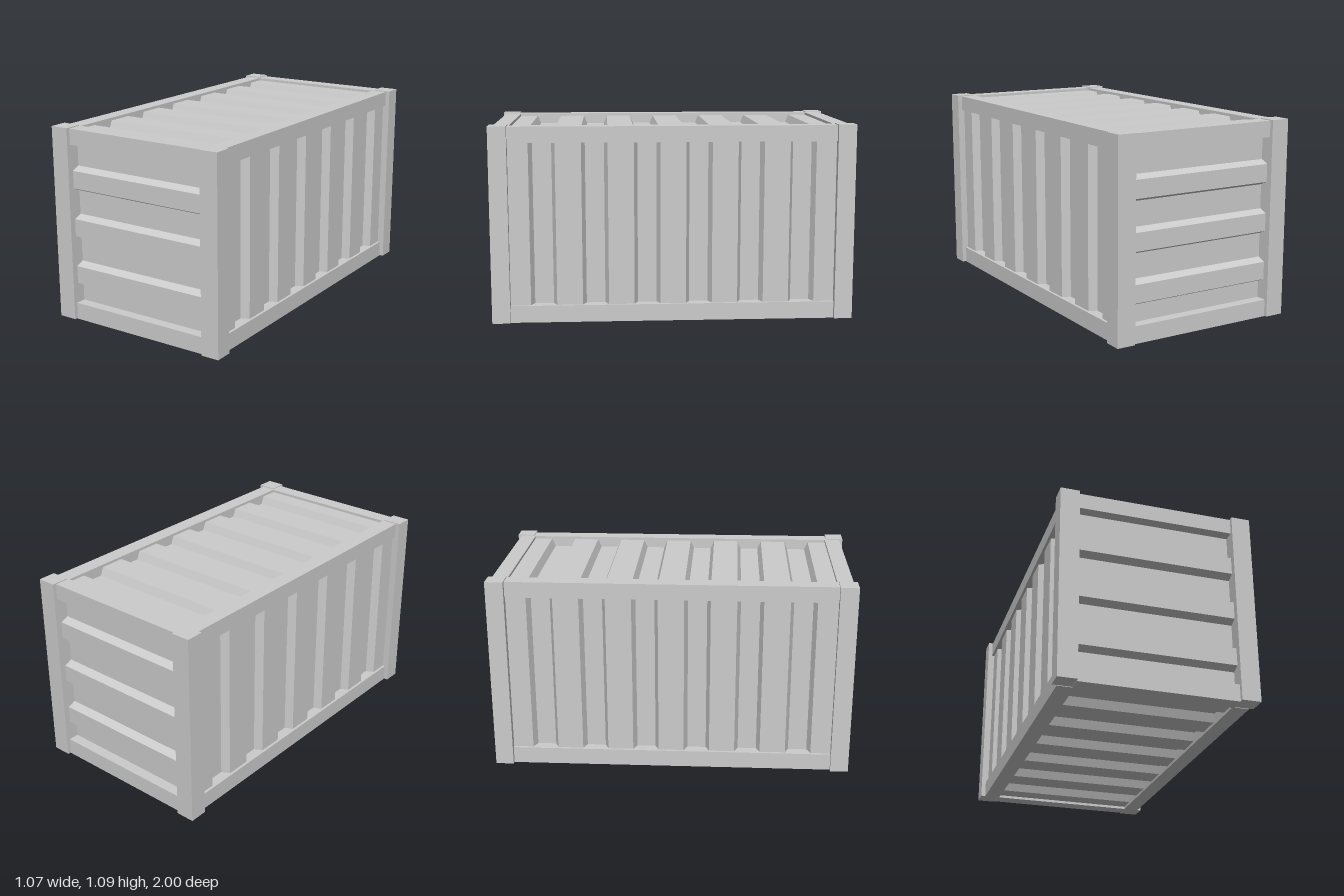
import * as THREE from 'three';

const material = new THREE.MeshStandardMaterial({ color: 0xcccccc, flatShading: true, side: THREE.DoubleSide });

const X = new THREE.Vector3(1, 0, 0);
const Y = new THREE.Vector3(0, 1, 0);
const Z = new THREE.Vector3(0, 0, 1);

// Box given by its lower and upper corners
function box(name, x0, x1, y0, y1, z0, z1) {
  const mesh = new THREE.Mesh(new THREE.BoxGeometry(x1 - x0, y1 - y0, z1 - z0), material);
  mesh.name = name;
  mesh.position.set((x0 + x1) / 2, (y0 + y1) / 2, (z0 + z1) / 2);
  return mesh;
}

// Folded sheet: u runs across the ribs, v points outward, ribs run along u x v.
// Each fold toggles between the inner level (0) and the outer level (depth).
function corrugatedPanel(name, { from, to, folds, startsHigh }, u, v, length, origin) {
  const depth = 0.045, slope = 0.01, thickness = 0.008;
  let level = startsHigh ? depth : 0;
  const line = [[from, level]];
  for (const f of folds) {
    line.push([f - slope, level]);
    level = depth - level;
    line.push([f + slope, level]);
  }
  line.push([to, level]);
  const back = line.map(([a, b]) => [a, b - thickness]).reverse();
  const shape = new THREE.Shape([...line, ...back].map(([a, b]) => new THREE.Vector2(a, b)));
  const geometry = new THREE.ExtrudeGeometry(shape, { depth: length, bevelEnabled: false });
  geometry.translate(0, 0, -length / 2);
  const w = new THREE.Vector3().crossVectors(u, v);
  geometry.applyMatrix4(new THREE.Matrix4().makeBasis(u, v, w));
  const mesh = new THREE.Mesh(geometry, material);
  mesh.name = name;
  mesh.position.copy(origin);
  return mesh;
}

export function createModel() {
  const group = new THREE.Group();
  group.name = 'cargoContainer';

  // Corner posts, standing slightly proud of the frame
  for (const sx of [1, -1]) {
    for (const sz of [1, -1]) {
      const post = box('cornerPost', 0.43, 0.535, 0.003, 1.09, 0.9, 1);
      post.position.x *= sx;
      post.position.z *= sz;
      group.add(post);
    }
  }

  // Top and bottom frame rails
  for (const [level, y0, y1] of [['bottom', 0, 0.095], ['top', 0.997, 1.085]]) {
    for (const s of [1, -1]) {
      const side = box(level + 'SideRail', 0.42, 0.51, y0, y1, -0.9, 0.9);
      side.position.x *= s;
      const end = box(level + 'EndRail', -0.43, 0.43, y0, y1, 0.892, 0.98);
      end.position.z *= s;
      group.add(side, end);
    }
  }

  // Long corrugation: six grooves along z
  const longFolds = [];
  for (let i = 0; i < 6; i++) {
    const c = (i - 2.5) * 0.2865;
    longFolds.push(c - 0.062, c + 0.062);
  }
  const longProfile = { from: -0.91, to: 0.91, folds: longFolds, startsHigh: true };

  // End corrugation: three ridges up the height
  const endFolds = [];
  for (let i = 0; i < 3; i++) {
    const c = 0.258 + i * 0.2715;
    endFolds.push(c - 0.059, c + 0.059);
  }
  const endProfile = { from: 0.08, to: 1.01, folds: endFolds, startsHigh: false };

  // Walls
  for (const s of [1, -1]) {
    group.add(
      corrugatedPanel(s > 0 ? 'leftWall' : 'rightWall', longProfile, Z, X.clone().multiplyScalar(s),
        0.92, new THREE.Vector3(0.45 * s, 0.545, 0)),
      corrugatedPanel(s > 0 ? 'frontWall' : 'backWall', endProfile, Y, Z.clone().multiplyScalar(s),
        0.88, new THREE.Vector3(0, 0, 0.92 * s)),
    );
  }

  // Roof and floor
  group.add(
    corrugatedPanel('roof', longProfile, Z, Y, 0.86, new THREE.Vector3(0, 1.025, 0)),
    corrugatedPanel('floor', longProfile, Z, Y.clone().negate(), 0.86, new THREE.Vector3(0, 0.06, 0)),
  );

  return group;
}
